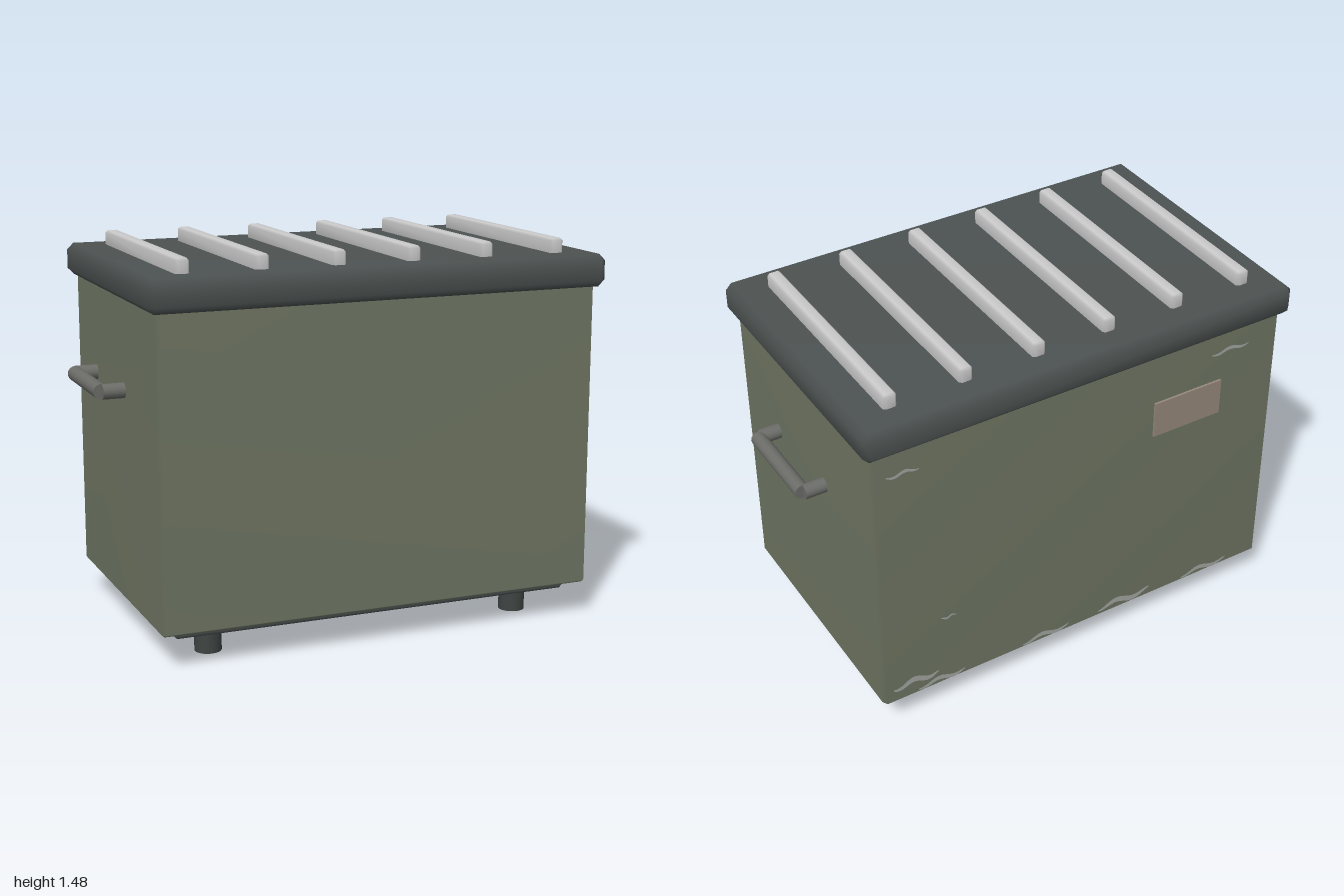
import * as THREE from 'three';
import { mergeVertices } from 'three/addons/utils/BufferGeometryUtils.js';
import { ConvexGeometry } from 'three/addons/geometries/ConvexGeometry.js';

const paint = (color, side = THREE.FrontSide) => new THREE.MeshStandardMaterial({ color, side });

// Box from y0 to y1 with chamfered edges; area-weighted normals keep broad faces flat
function chamferBox(w, y0, y1, d, bx, by = bx, bz = bx) {
  const x = w / 2, y = (y1 - y0) / 2, z = d / 2, points = [];
  for (const sx of [-1, 1]) for (const sy of [-1, 1]) for (const sz of [-1, 1]) {
    points.push(
      new THREE.Vector3(sx * x, sy * (y - by), sz * (z - bz)),
      new THREE.Vector3(sx * (x - bx), sy * y, sz * (z - bz)),
      new THREE.Vector3(sx * (x - bx), sy * (y - by), sz * z));
  }
  const raw = new ConvexGeometry(points);
  raw.deleteAttribute('normal');
  const geo = mergeVertices(raw, 1e-5);
  geo.computeVertexNormals();
  return geo.translate(0, (y0 + y1) / 2, 0);
}

// Thin wavy streak with tapering ends, lying in the xy plane
function streakShape(length, thick) {
  const upper = [], lower = [], n = 12;
  for (let i = 0; i <= n; i++) {
    const t = i / n, x = (t - 0.5) * length;
    const mid = thick * 0.45 * Math.sin(t * 9 + length * 20);
    const half = thick * 0.5 * Math.sqrt(Math.sin(Math.PI * Math.min(0.98, Math.max(0.02, t))));
    upper.push(new THREE.Vector2(x, mid + half));
    lower.unshift(new THREE.Vector2(x, mid - half));
  }
  return new THREE.ShapeGeometry(new THREE.Shape([...upper, ...lower]));
}

export function createModel() {
  const model = new THREE.Group();
  model.name = 'storageBin';
  const add = (name, geo, mat, x = 0, y = 0, z = 0, parent = model) => {
    const mesh = new THREE.Mesh(geo, mat);
    mesh.name = name;
    mesh.position.set(x, y, z);
    parent.add(mesh);
    return mesh;
  };
  const green = paint(0x6f7663), dark = paint(0x4d5352), footPaint = paint(0x3f4544);
  const metal = paint(0x6c6d69), grey = paint(0xcccccc);

  // Body, base plate and lid
  add('body', chamferBox(1.73, 0.13, 1.32, 1.07, 0.012, 0.012, 0.02), green);
  add('basePlate', chamferBox(1.6, 0.097, 0.16, 0.945, 0.012), dark);
  add('lid', chamferBox(1.796, 1.302, 1.425, 1.132, 0.025), dark);

  // Ribs across the lid
  const ribGeo = chamferBox(0.053, 1.41, 1.48, 0.91, 0.009);
  for (let i = 0; i < 6; i++) add('lidRib', ribGeo, grey, (i - 2.5) * 0.296);

  // Feet
  const footGeo = new THREE.CylinderGeometry(0.051, 0.051, 0.105, 20);
  for (const x of [-0.635, 0.635])
    for (const z of [-0.35, 0.35]) add('foot', footGeo, footPaint, x, 0.0525, z);

  // Side handles: a grip bar on two posts
  const gripGeo = new THREE.CylinderGeometry(0.029, 0.029, 0.37, 16).rotateX(Math.PI / 2);
  const postGeo = new THREE.CylinderGeometry(0.029, 0.029, 0.083, 16).rotateZ(Math.PI / 2);
  for (const side of [-1, 1]) {
    const handle = new THREE.Group();
    handle.name = side > 0 ? 'leftHandle' : 'rightHandle';
    add('grip', gripGeo, metal, side * 0.971, 0.973, 0, handle);
    for (const z of [-0.187, 0.187]) add('post', postGeo, metal, side * 0.928, 0.973, z, handle);
    model.add(handle);
  }

  // Blank plate on the back
  add('backPlate', new THREE.BoxGeometry(0.3, 0.15, 0.02), paint(0x96897a), -0.455, 1.02, -0.534);

  // Worn streaks on the back: x, y, length, thickness
  const wear = paint(0xa3a7a3, THREE.DoubleSide);
  const streaks = [
    [0.75, 1.205, 0.13, 0.014], [-0.64, 1.22, 0.17, 0.015], [0.585, 0.46, 0.065, 0.01],
    [0.73, 0.205, 0.19, 0.026], [0.62, 0.16, 0.2, 0.02], [0.155, 0.16, 0.21, 0.02],
    [-0.21, 0.17, 0.24, 0.026], [-0.6, 0.16, 0.22, 0.02],
  ];
  for (const [x, y, length, thick] of streaks)
    add('wearStreak', streakShape(length, thick).rotateY(Math.PI), wear, x, y, -0.5375);

  return model;
}
